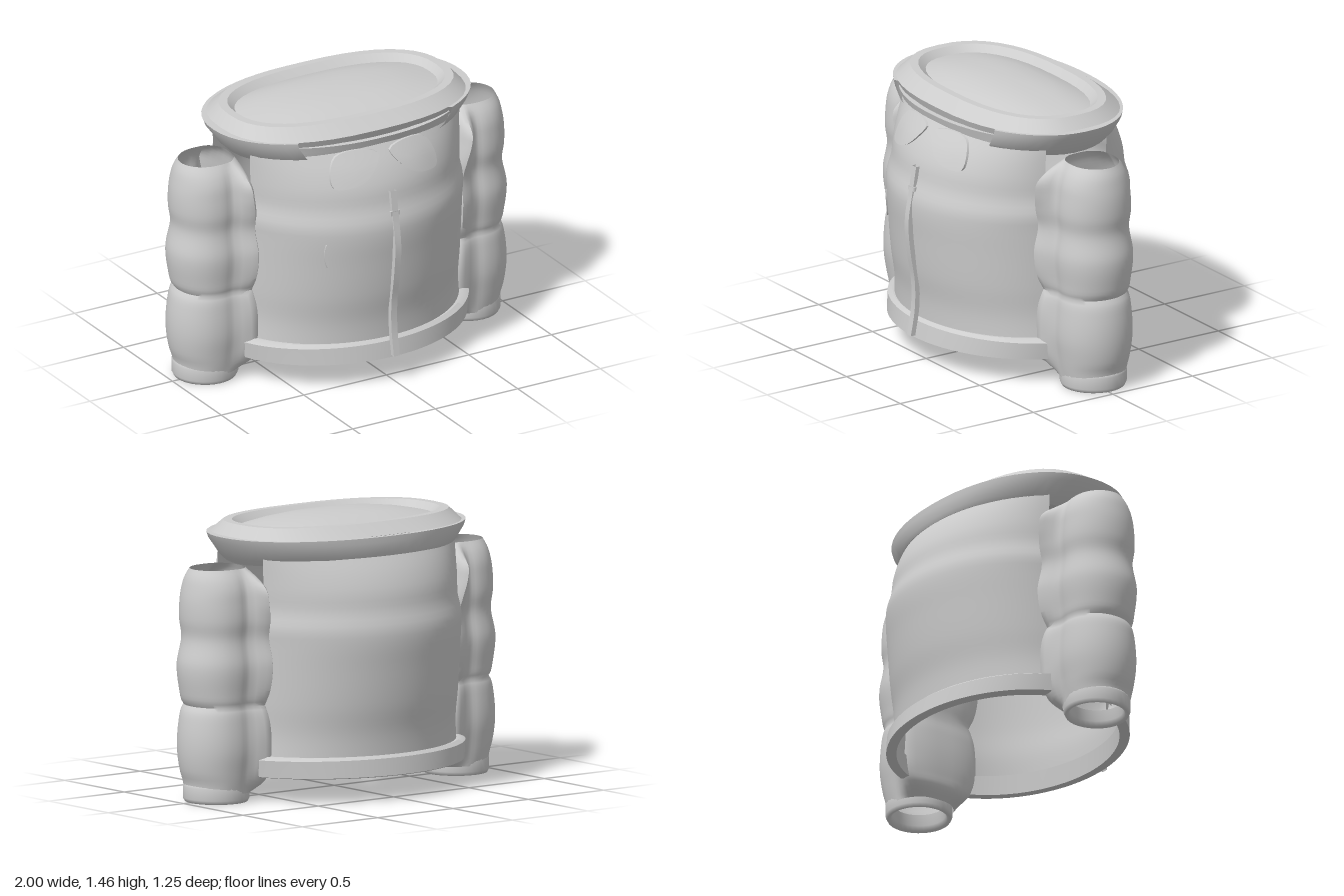
import * as THREE from 'three';
import { toCreasedNormals } from 'three/addons/utils/BufferGeometryUtils.js';

const ZC = -0.015; // depth centre of the garment

// Surface through rows of [x, y, z] points
function loft(rows, closed = false, crease = 0.7) {
  const n = rows[0].length, index = [];
  for (let r = 0; r < rows.length - 1; r++) {
    for (let i = 0; i < (closed ? n : n - 1); i++) {
      const j = (i + 1) % n, a = r * n + i, b = r * n + j;
      index.push(a, b, b + n, a, b + n, a + n);
    }
  }
  const g = new THREE.BufferGeometry();
  g.setAttribute('position', new THREE.Float32BufferAttribute(rows.flat(2), 3));
  g.setIndex(index);
  return toCreasedNormals(g, crease);
}

// Smooth lookup in a table whose first column is the height
function lookup(table) {
  const size = table[0].length - 1;
  const curve = new THREE.CubicInterpolant(table.map(r => r[0]), table.flatMap(r => r.slice(1)), size, new Array(size));
  return y => Array.from(curve.evaluate(y));
}

const range = (a, b, n) => Array.from({ length: n + 1 }, (_, i) => a + (b - a) * i / n);

// Point on a slightly squared oval; angle 0 is +x, PI/2 is +z
function oval(a, b, y, t, p = 0.86) {
  const c = Math.cos(t), s = Math.sin(t);
  return [a * Math.sign(c) * Math.abs(c) ** p, y, ZC + b * Math.sign(s) * Math.abs(s) ** p];
}
const ovalLoft = (profile, t0, t1, n, p, crease) =>
  loft(profile.map(([a, b, y]) => range(t0, t1, n).map(t => oval(a, b, y, t, p))), false, crease);

// height, half width, half depth
const body = lookup([
  [0.18, 0.675, 0.55], [0.35, 0.66, 0.56], [0.5, 0.665, 0.585], [0.7, 0.67, 0.605], [0.85, 0.675, 0.617],
  [0.91, 0.68, 0.613], [1.0, 0.665, 0.583], [1.1, 0.67, 0.563], [1.2, 0.68, 0.52], [1.31, 0.7, 0.45]]);

// height, outer radius, half depth, flare half depth, inner reach
const sleeve = lookup([
  [0.05, 0.165, 0.17, 0.13, 0.64], [0.1, 0.17, 0.18, 0.18, 0.595], [0.16, 0.19, 0.19, 0.215, 0.585],
  [0.28, 0.205, 0.205, 0.23, 0.58], [0.42, 0.195, 0.2, 0.23, 0.59], [0.49, 0.177, 0.19, 0.212, 0.6],
  [0.51, 0.163, 0.182, 0.2, 0.6], [0.53, 0.177, 0.19, 0.212, 0.6], [0.58, 0.19, 0.197, 0.235, 0.595],
  [0.72, 0.205, 0.21, 0.255, 0.59], [0.87, 0.178, 0.19, 0.235, 0.6], [0.96, 0.19, 0.2, 0.258, 0.61],
  [1.06, 0.19, 0.195, 0.275, 0.63], [1.13, 0.18, 0.185, 0.265, 0.64], [1.19, 0.165, 0.16, 0.185, 0.65],
  [1.23, 0.145, 0.13, 0.115, 0.67]]);

function sleeveRing(y) {
  const [r, d, w, inner] = sleeve(y), pts = [];
  for (const t of range(-Math.PI / 2, Math.PI / 2, 8)) {
    pts.push([0.795 + r * Math.cos(t), y, ZC + d * Math.sin(t)]);
  }
  const side = [[0.73, 0.97 * d], [inner + 0.03, w], [inner - 0.01, w * 0.6]];
  for (const [x, z] of side) pts.push([x, y, ZC + z]);
  pts.push([inner - 0.02, y, ZC]);
  for (const [x, z] of side.reverse()) pts.push([x, y, ZC - z]);
  const curve = new THREE.CatmullRomCurve3(pts.map(p => new THREE.Vector3(...p)), true, 'centripetal');
  return Array.from({ length: 48 }, (_, i) => curve.getPoint(i / 48).toArray());
}

// Leaf-shaped patch lying on the front panel
function patch(outline, lift) {
  const curve = new THREE.CatmullRomCurve3(outline.map(([x, y]) => new THREE.Vector3(x, y, 0)), true);
  const edge = Array.from({ length: 28 }, (_, i) => curve.getPoint(i / 28));
  const mid = edge.reduce((s, p) => s.add(p), new THREE.Vector3()).divideScalar(28);
  return loft([1, 1, 0.66, 0.33, 0].map((k, row) => edge.map(p => {
    const x = mid.x + (p.x - mid.x) * k, y = mid.y + (p.y - mid.y) * k;
    const [a, b] = body(y);
    return [x, y, ZC + b * Math.sqrt(1 - (x / a) ** 2) + (row ? lift : 0.001)];
  })), true);
}

export function createModel() {
  const model = new THREE.Group();
  const cloth = new THREE.MeshStandardMaterial({ color: 0xcccccc, side: THREE.DoubleSide });
  cloth.name = 'light grey';
  const add = (name, geometry) => {
    const mesh = new THREE.Mesh(geometry, cloth);
    mesh.name = name;
    model.add(mesh);
    return mesh;
  };

  // Front and back panels, open at the armholes, with a thick hem
  const hem = [[0.695, 0.555, 0.24], [0.73, 0.575, 0.225], [0.715, 0.59, 0.135], [0.695, 0.58, 0.13],
    [0.655, 0.54, 0.13], [0.66, 0.535, 0.24], [0.695, 0.555, 0.24]];
  for (const [label, s] of [['front', 1], ['back', -1]]) {
    add(label + 'Panel', loft(range(0.18, 1.31, 36).map(y => {
      const [a, b] = body(y), m = Math.acos(0.19 / b);
      return range(-m, m, 32).map(f => [a * Math.sin(f), y, ZC + s * b * Math.cos(f)]);
    })));
    const mid = s * Math.PI / 2;
    add(label + 'Hem', ovalLoft(hem, mid - 1.22, mid + 1.22, 32, 1, 0.5));
  }

  // Sleeves: quilted tubes flaring into the armholes, with round cuffs
  const cuff = [[0.135, 0.09], [0.14, 0.03], [0.15, 0.005], [0.165, 0], [0.175, 0.02], [0.175, 0.08], [0.165, 0.1], [0.135, 0.09]];
  for (const [label, s] of [['left', 1], ['right', -1]]) {
    add(label + 'Sleeve', loft(range(0.05, 1.23, 59).map(sleeveRing), true, 1)).scale.x = s;
    const ring = add(label + 'Cuff', new THREE.LatheGeometry(cuff.map(p => new THREE.Vector2(...p)), 32));
    ring.position.set(s * 0.795, 0, ZC);
  }

  // Collar: domed top inside a raised rim
  const TAU = Math.PI * 2;
  add('collarRim', ovalLoft([[0.66, 0.43, 1.31], [0.705, 0.455, 1.38], [0.65, 0.375, 1.44], [0.605, 0.335, 1.44],
    [0.57, 0.295, 1.405]], 0, TAU, 40, 0.8, 0.4));
  add('collarLining', ovalLoft([[0.57, 0.295, 1.405], [0.46, 0.24, 1.428], [0.32, 0.17, 1.448],
    [0.16, 0.085, 1.458], [0, 0, 1.46]], 0, TAU, 40, 0.8, 1));

  // Outer band, open at the front, dipping over the shoulders
  const start = 0.93, sweep = range(Math.PI - start, TAU + start, 44);
  const band = [[0.70, 0.46, 1.38, 0], [0.75, 0.49, 1.38, 0], [0.735, 0.49, 1.35, 0.1], [0.67, 0.485, 1.295, 0.8],
    [0.64, 0.475, 1.275, 1], [0.61, 0.445, 1.28, 1]];
  add('collarBand', loft(band.map(([a, b, y, dip]) =>
    sweep.map(t => oval(a, b, y - 0.045 * dip * Math.cos(t) ** 4, t, 0.92))), false, 0.5));

  // Layered strips in the front opening
  const strips = [[0.44, 1.345, 1.375], [0.47, 1.31, 1.345], [0.45, 1.28, 1.315]];
  strips.forEach(([b, y0, y1], i) => add('collarStrip' + (i + 1), ovalLoft(
    [[0.66, b - 0.02, y0], [0.68, b, y0], [0.69, b + 0.01, y1], [0.66, b - 0.02, y1]], 0.85, Math.PI - 0.85, 20, 0.92, 0.5)));

  // Collar tabs and the pocket slit
  const tab = [[0.035, 1.27], [0.06, 1.22], [0.13, 1.155], [0.22, 1.125], [0.31, 1.13], [0.315, 1.2], [0.27, 1.28], [0.15, 1.3]];
  add('leftCollarTab', patch(tab, 0.015));
  add('rightCollarTab', patch(tab.map(([x, y]) => [-x, y]), 0.015));
  add('pocketSlit', patch([[-0.365, 0.83], [-0.375, 0.76], [-0.355, 0.69], [-0.345, 0.74], [-0.345, 0.8]], 0.008));

  // Zip with a small pull
  const zip = new THREE.CatmullRomCurve3([[1.08, 0.567], [0.95, 0.588], [0.78, 0.615], [0.6, 0.6], [0.45, 0.575],
    [0.3, 0.575], [0.15, 0.6]].map(([y, z]) => new THREE.Vector3(0, y, z)));
  add('zip', loft(range(0, 1, 24).map(t => {
    const p = zip.getPoint(t);
    return [[-0.018, -0.02], [-0.018, 0.008], [0.018, 0.008], [0.018, -0.02]].map(([x, z]) => [x, p.y, p.z + z]);
  }), true, 0.5));
  add('zipPull', new THREE.BoxGeometry(0.055, 0.025, 0.02)).position.set(0, 0.96, 0.583);

  return model;
}
